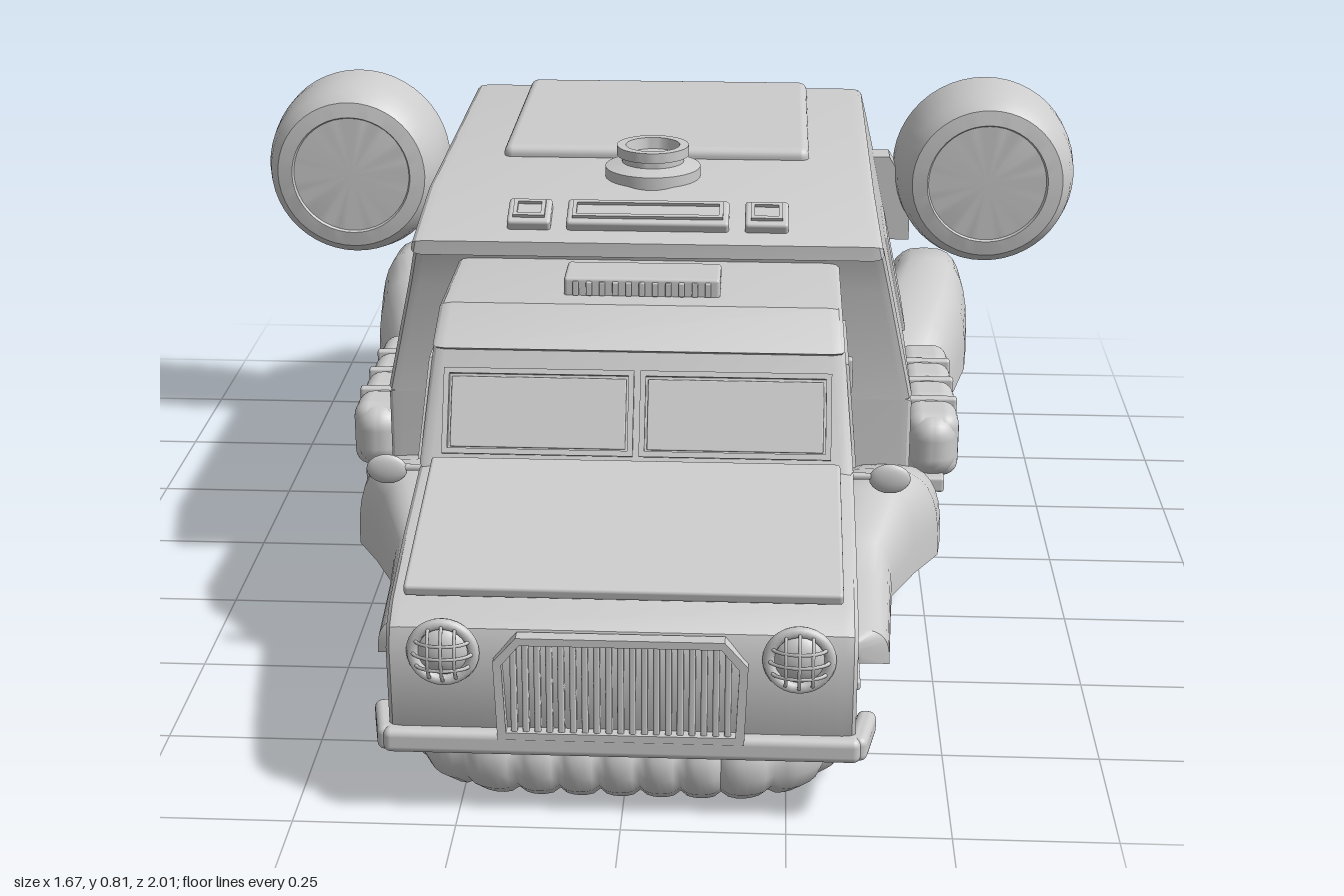
import * as THREE from 'three';
import { toCreasedNormals } from 'three/addons/utils/BufferGeometryUtils.js';
import { RoundedBoxGeometry } from 'three/addons/geometries/RoundedBoxGeometry.js';

const grey = new THREE.MeshStandardMaterial({ color: 0xcccccc });
grey.name = 'plain grey';

// Extrude a side profile of [z, y] points across the width; halfAt(y) sets the half width
function sideExtrude(points, halfAt, hole) {
  const toShape = (p) => p.map(([z, y]) => new THREE.Vector2(z, y));
  const shape = new THREE.Shape(toShape(points));
  if (hole) shape.holes.push(new THREE.Path(toShape(hole)));
  const geo = new THREE.ExtrudeGeometry(shape, {
    depth: 1.96, bevelEnabled: !hole, bevelThickness: 0.02, bevelSize: 0.008, bevelOffset: -0.008, bevelSegments: 2,
  });
  geo.translate(0, 0, -0.98).rotateY(-Math.PI / 2);
  const p = geo.attributes.position;
  for (let i = 0; i < p.count; i++) {
    const x = p.getX(i), inset = hole ? 0 : 1 - Math.abs(x);
    p.setX(i, Math.sign(x) * (halfAt(p.getY(i)) - inset));
  }
  return toCreasedNormals(geo, 0.5);
}

// Arched sections from front to back: [z, inner x, outer x, bottom, top]
function archLoft(sections, side) {
  const n = 16, m = n + 1, pos = [], idx = [];
  for (const [z, xi, xo, yb, yt] of sections) {
    for (let j = 0; j <= n; j++) {
      const a = (j / n) * Math.PI, c = Math.cos(a), s = Math.sin(a);
      const u = Math.sign(c) * Math.pow(Math.abs(c), 0.65);
      pos.push(side * ((xi + xo) / 2 + (u * (xo - xi)) / 2), yb + (yt - yb) * Math.pow(Math.max(s, 0), 0.7), z);
    }
  }
  const tri = (a, b, c) => (side > 0 ? idx.push(a, b, c) : idx.push(a, c, b));
  const last = (sections.length - 1) * m;
  for (let i = 0; i < last; i += m) {
    for (let j = 0; j < m; j++) {
      const a = i + j, b = i + ((j + 1) % m);
      tri(a, a + m, b);
      tri(b, a + m, b + m);
    }
  }
  for (let j = 1; j < n; j++) {
    tri(0, j, j + 1);
    tri(last, last + j + 1, last + j);
  }
  const geo = new THREE.BufferGeometry();
  geo.setAttribute('position', new THREE.Float32BufferAttribute(pos, 3));
  geo.setIndex(idx);
  return toCreasedNormals(geo, 0.7);
}

// Ribbed tube following a rounded rectangle on the ground
function bellows(halfX, z0, z1, r) {
  const c = 0.13, path = new THREE.CurvePath(), v = (x, z) => new THREE.Vector3(x, r, z);
  const corners = [[halfX, z1, 0, -1], [halfX, z0, -1, 0], [-halfX, z0, 0, 1], [-halfX, z1, 1, 0]];
  corners.forEach(([x, z, dx, dz], i) => {
    const [, , px, pz] = corners[(i + 3) % 4], [nx, nz] = corners[(i + 1) % 4];
    const out = v(x + dx * c, z + dz * c);
    path.add(new THREE.QuadraticBezierCurve3(v(x - px * c, z - pz * c), v(x, z), out));
    path.add(new THREE.LineCurve3(out, v(nx - dx * c, nz - dz * c)));
  });
  const ribs = Math.round(path.getLength() / 0.062), steps = ribs * 6, radial = 14;
  const geo = new THREE.TubeGeometry(path, steps, r, radial, true);
  const p = geo.attributes.position, q = new THREE.Vector3();
  for (let i = 0; i <= steps; i++) {
    const o = path.getPointAt((i % steps) / steps);
    const k = 0.85 + 0.15 * Math.sqrt(Math.abs(Math.sin((i / 6) * Math.PI)));
    for (let j = 0; j <= radial; j++) {
      const n = i * (radial + 1) + j;
      q.fromBufferAttribute(p, n).sub(o).multiplyScalar(k).add(o);
      p.setXYZ(n, q.x, q.y, q.z);
    }
  }
  geo.computeVertexNormals();
  return geo;
}

// Flat outline facing +z, from [x, y] points
const toPoints = (p) => p.map(([x, y]) => new THREE.Vector2(x, y));
const slab = (shape, depth) => new THREE.ExtrudeGeometry(shape, { depth, bevelEnabled: false });
function frame(w, h, t, depth) {
  const rect = (a, b) => toPoints([[-a, -b], [a, -b], [a, b], [-a, b]]);
  const s = new THREE.Shape(rect(w / 2, h / 2));
  s.holes.push(new THREE.Path(rect(w / 2 - t, h / 2 - t)));
  return slab(s, depth);
}

export function createModel() {
  const model = new THREE.Group();
  model.name = 'hoverVan';
  const add = (name, geo, x = 0, y = 0, z = 0, rx = 0, ry = 0, rz = 0) => {
    const mesh = new THREE.Mesh(geo, grey);
    mesh.name = name;
    mesh.position.set(x, y, z);
    mesh.rotation.set(rx, ry, rz, 'YXZ');
    model.add(mesh);
    return mesh;
  };
  const box = (w, h, d, r = 0.006) => new RoundedBoxGeometry(w, h, d, 3, r);
  const lathe = (pts, n = 40) => toCreasedNormals(new THREE.LatheGeometry(toPoints(pts), n), 0.5);

  // Main body
  const bodyHalf = (y) => 0.47 - (y - 0.38) * 0.215;
  const cabHalf = (y) => 0.352 - Math.max(0, y - 0.41) * 0.09;
  add('upperBody', sideExtrude([[-0.9, 0.38], [0.16, 0.38], [0.165, 0.585], [0.19, 0.665], [0.25, 0.667], [0.25, 0.692],
    [0.1, 0.75], [-0.62, 0.755], [-0.72, 0.69], [-0.885, 0.495]], bodyHalf));
  add('lowerBody', sideExtrude([[-0.918, 0.1], [0.16, 0.1], [0.16, 0.382], [-0.9, 0.382], [-0.924, 0.25]], () => 0.468));
  add('roofPanel', box(0.56, 0.034, 0.53, 0.016), 0, 0.755, -0.347);
  add('turret', lathe([[0, -0.02], [0.085, -0.02], [0.085, 0.012], [0.055, 0.02], [0.055, 0.03], [0.064, 0.032], [0.064, 0.05],
    [0.048, 0.05], [0.045, 0.03], [0, 0.03]]), 0, 0.757, 0.025);

  // Visor lamps
  for (const [x, w] of [[0, 0.28], [-0.205, 0.075], [0.205, 0.075]]) {
    add('visorLamp', box(w, 0.024, 0.068), x, 0.722, 0.188, 0.37);
    add('visorLampRim', frame(w - 0.02, 0.045, 0.007, 0.006), x, 0.733, 0.192, 0.37 - Math.PI / 2);
  }

  // Rear door with vent, hatch and handle
  const slope = -0.7;
  const door = new THREE.Shape(toPoints([[-0.32, 0.13], [-0.36, -0.13], [0.36, -0.13], [0.32, 0.13]]));
  add('rearDoor', slab(door, 0.014), 0, 0.592, -0.803, slope, Math.PI);
  add('rearVent', frame(0.26, 0.095, 0.028, 0.03), 0, 0.575, -0.817, slope, Math.PI);
  add('rearLowerPanel', box(0.72, 0.25, 0.02), 0, 0.372, -0.902, -0.14);
  add('rearHatch', frame(0.16, 0.055, 0.004, 0.004), 0, 0.34, -0.915, 0.14, Math.PI);
  add('rearHandle', box(0.07, 0.012, 0.02), 0, 0.272, -0.924);

  // Cab
  add('cabLower', sideExtrude([[0.15, 0.1], [0.94, 0.1], [0.965, 0.15], [0.97, 0.28], [0.958, 0.312], [0.917, 0.338],
    [0.76, 0.38], [0.585, 0.415], [0.15, 0.415]], cabHalf));
  add('cabUpper', sideExtrude([[0.15, 0.41], [0.587, 0.41], [0.497, 0.585], [0.51, 0.592], [0.435, 0.645], [0.15, 0.64]], cabHalf));
  add('sideWindowFrames', sideExtrude([[0.565, 0.418], [0.28, 0.418], [0.28, 0.57], [0.495, 0.57]], (y) => cabHalf(y) + 0.005,
    [[0.545, 0.43], [0.292, 0.43], [0.292, 0.558], [0.488, 0.558]]));
  for (const s of [-1, 1]) {
    add('windscreenFrame', frame(0.31, 0.14, 0.009, 0.012), s * 0.16, 0.495, 0.542, -0.47);
    add('windscreenPane', box(0.285, 0.115, 0.006, 0.002), s * 0.16, 0.495, 0.544, -0.47);
  }
  add('bonnet', box(0.66, 0.02, 0.34), 0, 0.388, 0.752, 0.22);
  add('roofIntake', box(0.26, 0.036, 0.09), 0, 0.657, 0.342);
  for (let i = 0; i < 11; i++) add('intakeSlat', box(0.01, 0.024, 0.01, 0.002), (i - 5) * 0.022, 0.657, 0.388);

  // Grille and bumper
  const rim = new THREE.Shape(toPoints([[-0.185, -0.085], [0.185, -0.085], [0.19, 0.045], [0.155, 0.085], [-0.155, 0.085], [-0.19, 0.045]]));
  rim.holes.push(new THREE.Path(toPoints([[-0.172, -0.073], [0.172, -0.073], [0.177, 0.04], [0.15, 0.073], [-0.15, 0.073], [-0.177, 0.04]])));
  add('grilleRim', slab(rim, 0.022), 0, 0.225, 0.962);
  for (let i = 0; i < 19; i++) add('grilleBar', box(0.01, 0.15, 0.014, 0.003), (i - 9) * 0.0178, 0.225, 0.972);
  add('bumper', box(0.72, 0.04, 0.035, 0.012), 0, 0.13, 0.965);

  // Ribbed air skirts
  add('frontSkirt', bellows(0.28, 0.228, 0.882, 0.074));
  add('rearSkirt', bellows(0.428, -0.87, -0.522, 0.074));

  const wing = [[0.7, 0.32, 0.37, 0.135, 0.17], [0.68, 0.31, 0.415, 0.125, 0.185], [0.5, 0.3, 0.425, 0.122, 0.195],
    [0.42, 0.3, 0.43, 0.12, 0.225], [0.32, 0.3, 0.475, 0.118, 0.275], [0.23, 0.3, 0.52, 0.112, 0.277],
    [0.14, 0.32, 0.53, 0.1, 0.25], [0.06, 0.36, 0.53, 0.097, 0.195], [0, 0.38, 0.53, 0.095, 0.16],
    [-0.45, 0.38, 0.53, 0.095, 0.16], [-0.49, 0.38, 0.565, 0.1, 0.21], [-0.6, 0.38, 0.605, 0.108, 0.265],
    [-0.72, 0.42, 0.635, 0.115, 0.305], [-0.82, 0.455, 0.645, 0.115, 0.333], [-0.92, 0.462, 0.645, 0.115, 0.325],
    [-0.965, 0.472, 0.635, 0.125, 0.29], [-0.982, 0.495, 0.61, 0.15, 0.25]];
  const arm = new THREE.Shape(toPoints([[0.37, 0.43], [0.5, 0.43], [0.5, 0.53], [0.455, 0.607], [0.37, 0.607]]));

  for (const s of [-1, 1]) {
    add('wing', archLoft(wing, s));
    add('bumperEnd', box(0.03, 0.04, 0.1, 0.012), s * 0.363, 0.13, 0.925, 0, s * -0.2);

    // Caged head and tail lamps
    for (const [name, x, y, z, d] of [['headlamp', 0.265, 0.28, 0.965, 1], ['tailLamp', 0.55, 0.24, -0.968, -1]]) {
      const turn = (d * Math.PI) / 2;
      add(name + 'Rim', new THREE.TorusGeometry(0.046, 0.009, 8, 28), s * x, y, z + d * 0.008);
      add(name, new THREE.SphereGeometry(0.04, 20, 12), s * x, y, z).scale.z = 0.6;
      for (const o of [-0.02, 0, 0.02]) {
        const arc = new THREE.TorusGeometry(Math.sqrt(0.046 ** 2 - o * o), 0.003, 6, 16, Math.PI);
        add(name + 'Guard', arc, s * x + o, y, z + d * 0.008, 0, turn, Math.PI / 2).scale.y = 0.6;
        add(name + 'Guard', arc, s * x, y + o, z + d * 0.008, turn).scale.y = 0.6;
      }
    }

    // Fan pod on its arm
    add('fanPod', lathe([[0, -0.068], [0.16, -0.068], [0.168, -0.08], [0.185, -0.08], [0.185, -0.04], [0.18, 0.01], [0.17, 0.05],
      [0.152, 0.073], [0.122, 0.078], [0.119, 0.072], [0, 0.072]], 48), s * 0.65, 0.578, -0.625, Math.PI / 2);
    const armZ = s > 0 ? -0.7 : -0.64;
    add('fanArm', slab(arm, 0.06), 0, 0, armZ, 0, s > 0 ? 0 : Math.PI);

    // Luggage roll with straps
    const rollX = s * 0.522;
    add('luggageRoll', box(0.09, 0.12, 0.455, 0.042), rollX, 0.215, -0.228);
    for (let i = 0; i < 4; i++) add('luggageBulge', box(0.1, 0.128, 0.104, 0.03), rollX, 0.215, -0.072 - i * 0.104);
    for (const z of [-0.124, -0.228, -0.332]) add('luggageStrap', box(0.1, 0.128, 0.018), rollX, 0.215, z);
    add('runningBoard', box(0.14, 0.03, 0.46), s * 0.475, 0.15, -0.225);

    // Mirrors, handles and side trim
    add('mirror', new THREE.SphereGeometry(0.034, 16, 10), s * 0.413, 0.387, 0.535).scale.set(1, 0.75, 0.3);
    add('mirrorStalk', new THREE.CylinderGeometry(0.006, 0.006, 0.06, 8), s * 0.368, 0.39, 0.533, 0, 0, Math.PI / 2);
    add('doorHandle', box(0.012, 0.012, 0.06, 0.004), s * 0.354, 0.385, 0.32);
    add('cabVent', box(0.014, 0.065, 0.018, 0.004), s * 0.352, 0.45, 0.225);
    add('sideBadge', box(0.012, 0.016, 0.09, 0.004), s * 0.354, 0.195, 0.845);
    add('sideMarker', box(0.012, 0.02, 0.025, 0.004), s * 0.354, 0.195, 0.765);
    add('sidePanel', box(0.012, 0.19, 0.2, 0.003), s * bodyHalf(0.5), 0.5, -0.23, 0, 0, s * 0.212);
    add('rearMarker', box(0.02, 0.075, 0.03), s * 0.44, 0.43, -0.888);
  }
  return model;
}
